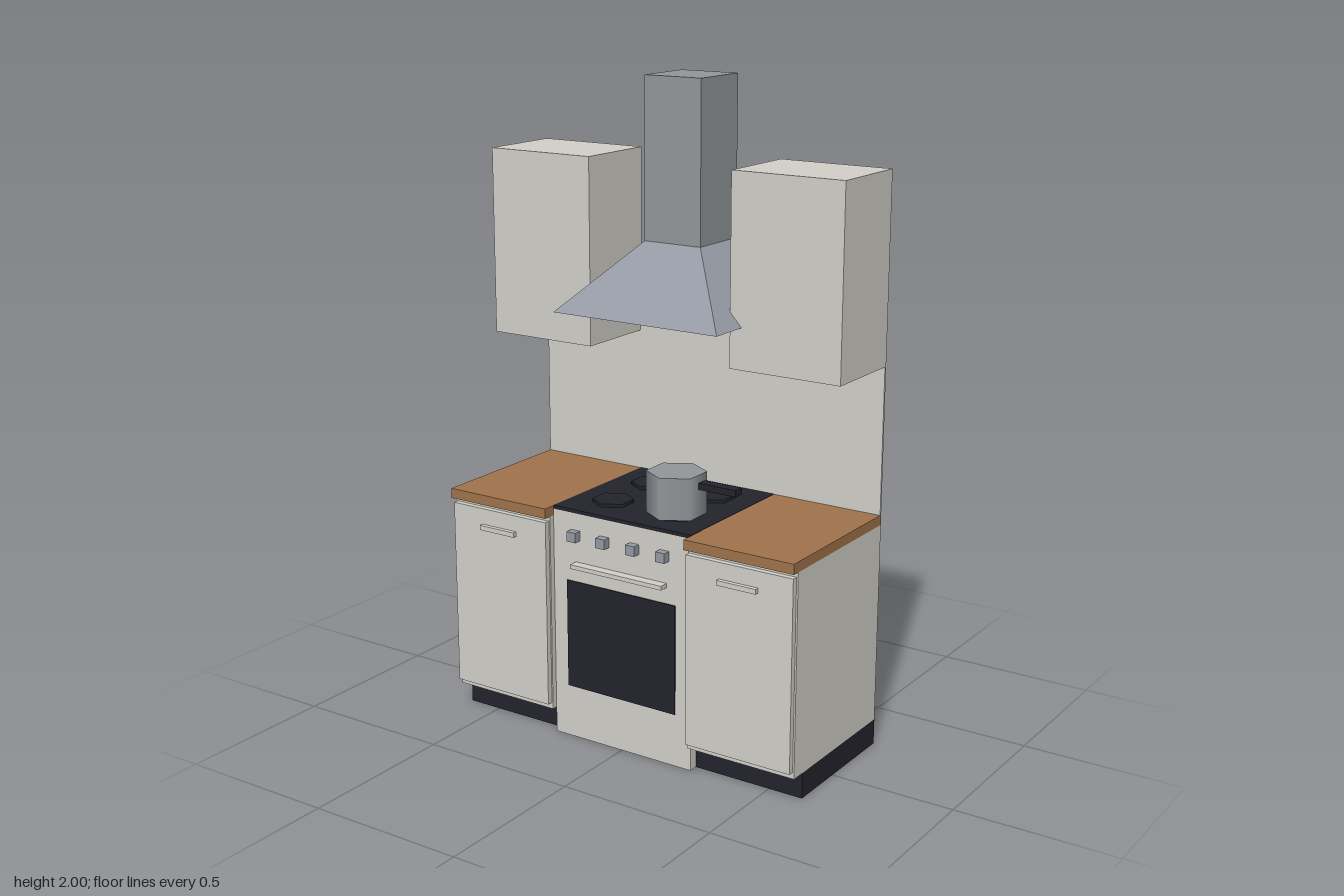
import * as THREE from 'three';

const mat = (name, color) => {
  const m = new THREE.MeshStandardMaterial({ color });
  m.name = name;
  return m;
};

export function createModel() {
  const cream = mat('cream', 0xd2d0c8);
  const wood = mat('wood', 0xa0734c);
  const dark = mat('dark', 0x23232d);
  const steel = mat('steel', 0x92979a);
  const blueSteel = mat('blue steel', 0x959aa4);
  const root = new THREE.Group();
  root.name = 'kitchen';

  const add = (name, geometry, material, parent = root) => {
    const mesh = new THREE.Mesh(geometry, material);
    mesh.name = name;
    parent.add(mesh);
    return mesh;
  };
  // Box given by its limits on each axis
  const box = (name, material, [x0, x1], [y0, y1], [z0, z1], parent) =>
    add(name, new THREE.BoxGeometry(x1 - x0, y1 - y0, z1 - z0)
      .translate((x0 + x1) / 2, (y0 + y1) / 2, (z0 + z1) / 2), material, parent);
  const group = (name) => {
    const g = new THREE.Group();
    g.name = name;
    root.add(g);
    return g;
  };

  const back = -0.26;

  // Base and wall cabinets on both sides
  for (const s of [-1, 1]) {
    const side = s > 0 ? 'left' : 'right';
    const span = (a, b) => (s > 0 ? [a, b] : [-b, -a]);
    const base = group(side + 'BaseCabinet');
    box('plinth', dark, span(0.247, 0.61), [0, 0.08], [back, 0.18], base);
    box('body', cream, span(0.247, 0.61), [0.08, 0.705], [back, 0.228], base);
    box('door', cream, span(0.251, 0.605), [0.1, 0.69], [0.228, 0.246], base);
    box('doorHandle', cream, span(0.363, 0.493), [0.625, 0.64], [0.246, 0.26], base);
    box('countertop', wood, span(0.247, 0.61), [0.705, 0.736], [back, 0.252], base);
    box(side + 'WallCabinet', cream, span(0.247, 0.61), [1.187, 1.76], [back, 0.013]);
  }

  // Back wall, taller between the wall cabinets
  box('backPanel', cream, [-0.61, 0.61], [0.736, 1.187], [back, -0.253]);
  box('upperBackPanel', cream, [-0.247, 0.247], [1.187, 1.312], [back, -0.253]);

  // Cooker
  const cooker = group('cooker');
  box('cookerBody', cream, [-0.247, 0.247], [0, 0.726], [back, 0.21], cooker);
  box('hob', dark, [-0.247, 0.247], [0.726, 0.737], [back, 0.21], cooker);
  box('ovenWindow', dark, [-0.197, 0.193], [0.167, 0.51], [0.209, 0.214], cooker);
  box('ovenHandle', cream, [-0.165, 0.162], [0.56, 0.573], [0.21, 0.24], cooker);
  for (const x of [-0.165, -0.059, 0.048, 0.154])
    box('knob', blueSteel, [x - 0.016, x + 0.016], [0.642, 0.673], [0.21, 0.235], cooker);
  for (const x of [-0.117, 0.113])
    for (const z of [-0.122, 0.083])
      add('burner', new THREE.CylinderGeometry(0.0635, 0.0635, 0.011, 6)
        .translate(x, 0.7415, z), dark, cooker);

  // Saucepan
  const pan = group('saucepan');
  add('panBody', new THREE.CylinderGeometry(0.09, 0.09, 0.128, 6)
    .translate(0.113, 0.811, 0.085), steel, pan);
  box('panHandle', dark, [0.198, 0.325], [0.835, 0.855], [0.064, 0.098], pan);

  // Extractor: a box whose top is drawn in to meet the chimney
  const y0 = 1.312, y1 = 1.514, zBack = -0.2585;
  const hood = new THREE.BoxGeometry(1, 1, 1).toNonIndexed();
  const p = hood.attributes.position;
  for (let i = 0; i < p.count; i++) {
    const top = p.getY(i) > 0;
    const halfWidth = top ? 0.098 : 0.286;
    const front = top ? -0.06 : 0.145;
    p.setXYZ(i, Math.sign(p.getX(i)) * halfWidth, top ? y1 : y0,
      p.getZ(i) > 0 ? front : zBack);
  }
  hood.computeVertexNormals();
  add('extractorHood', hood, blueSteel);
  box('chimney', steel, [-0.098, 0.098], [y1, 2], [zBack, -0.06]);

  return root;
}
